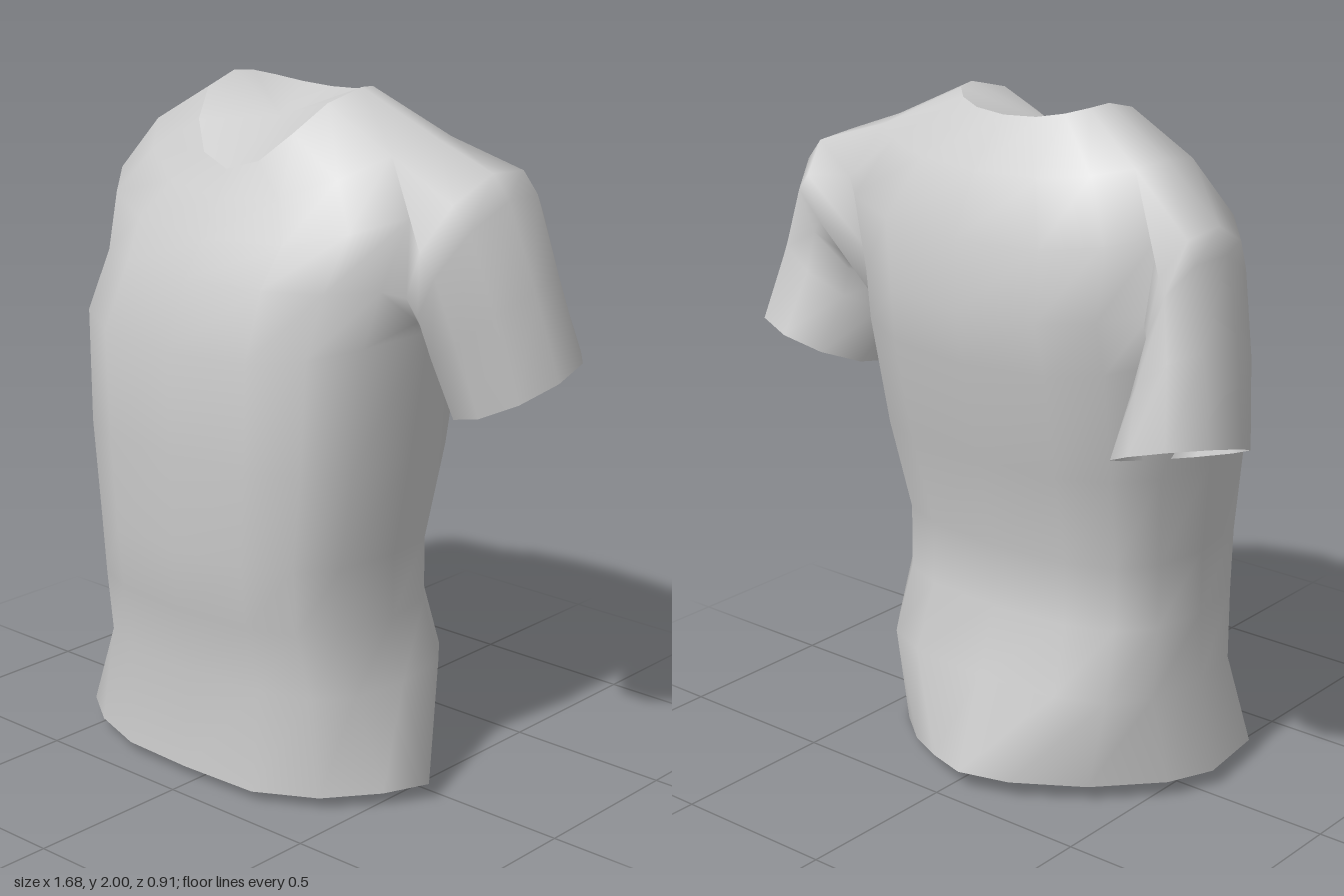
import * as THREE from 'three';

const material = new THREE.MeshStandardMaterial({ color: 0xcccccc, side: THREE.DoubleSide });

function smoothMesh(name, points, index) {
  const geometry = new THREE.BufferGeometry();
  geometry.setAttribute('position', new THREE.Float32BufferAttribute(points.flat(), 3));
  geometry.setIndex(index);
  geometry.computeVertexNormals();
  const mesh = new THREE.Mesh(geometry, material);
  mesh.name = name;
  return mesh;
}

// Rounded-box section of the body, starting at the front and turning towards +x.
// y holds the heights of the front, side and back; p is the squareness.
const SIDES = 16;
function bodyRing([y, xMin, xMax, zFront, zBack, zSide, p = 0.72]) {
  const [yF, yS, yB] = Array.isArray(y) ? y : [y, y, y];
  const cx = (xMin + xMax) / 2, rx = (xMax - xMin) / 2;
  return Array.from({ length: SIDES }, (_, i) => {
    const a = i * 2 * Math.PI / SIDES, s = Math.sin(a), c = Math.cos(a);
    const end = c > 0 ? zFront : zBack;
    return [
      cx + rx * Math.sign(s) * Math.abs(s) ** p,
      yS + ((c > 0 ? yF : yB) - yS) * c * c,
      zSide + (end - zSide) * Math.abs(c) ** p,
    ];
  });
}

// Uneven hem, in the same order as a body ring.
const hem = [
  [-0.04, 0.03, 0.41], [0.22, 0.03, 0.4], [0.4, 0.035, 0.31], [0.52, 0.04, 0.17],
  [0.59, 0.05, 0.05], [0.39, 0, -0.19], [0.24, 0.03, -0.32], [0.1, 0.05, -0.4],
  [-0.04, 0.06, -0.45], [-0.19, 0.055, -0.4], [-0.38, 0.05, -0.27], [-0.54, 0.05, -0.1],
  [-0.6, 0.05, 0.04], [-0.57, 0.05, 0.27], [-0.45, 0.04, 0.35], [-0.28, 0.03, 0.4],
];

const bodyRings = [hem, ...[
  [0.33, -0.55, 0.48, 0.39, -0.35, 0.04],
  [0.53, -0.53, 0.455, 0.43, -0.285, 0.06],                     // waist
  [0.72, -0.53, 0.455, 0.45, -0.28, 0.06],
  [1.0, -0.565, 0.49, 0.457, -0.35, 0.04],
  [[1.3, 1.36, 1.3], -0.59, 0.5, 0.455, -0.415, -0.02],         // chest, under the arms
  [[1.5, 1.5, 1.45], -0.58, 0.51, 0.385, -0.43, -0.05, 0.78],
  [[1.6, 1.72, 1.65], -0.61, 0.57, 0.335, -0.41, -0.09, 0.8],
  [[1.7, 1.88, 1.82], -0.5, 0.46, 0.27, -0.33, -0.1, 0.88],     // shoulders
  [[1.78, 2.0, 1.96], -0.28, 0.21, 0.22, -0.22, -0.07, 0.88],   // neckline
].map(bodyRing)];

// Armhole: the rows and columns of the body grid that are left open, and its rim
// as [row, column steps towards the front], from the top forwards and round.
const HOLE_BOTTOM = 5, HOLE_TOP = 8, SHOULDER = SIDES / 4;
const armholeRim = [
  [8, 0], [8, 1], [7, 1], [6, 1], [5, 1], [5, 0], [5, -1], [6, -1], [7, -1], [8, -1],
];

// Sleeve sections from shoulder to cuff: centre, arm towards the outside, arm towards the front.
const sleeveRings = [
  [[0.58, 1.6, -0.1], [0.07, 0.21, 0], [-0.02, -0.05, 0.235]],
  [[0.61, 1.55, -0.11], [0.09, 0.19, 0], [-0.02, -0.06, 0.225]],
  [[0.635, 1.4, -0.145], [0.14, 0.1, 0.01], [-0.02, -0.065, 0.212]],
  [[0.67, 1.2, -0.21], [0.17, 0.045, 0.04], [-0.03, -0.065, 0.205]],
];

// Body and sleeves share their vertices, so the cloth runs smoothly across the armholes.
function makeGarment() {
  const points = bodyRings.flat();
  const index = [];
  const quad = (a, b, c, d) => index.push(a, b, c, a, c, d);
  const bodyIndex = (row, column) => row * SIDES + (column + SIDES) % SIDES;

  // body, leaving two columns open on either side for the armholes
  for (let row = 0; row < bodyRings.length - 1; row++) {
    for (let i = 0; i < SIDES; i++) {
      const beside = [SHOULDER - 1, SHOULDER, 3 * SHOULDER - 1, 3 * SHOULDER].includes(i);
      if (beside && row >= HOLE_BOTTOM && row < HOLE_TOP) continue;
      quad(bodyIndex(row, i), bodyIndex(row, i + 1), bodyIndex(row + 1, i + 1), bodyIndex(row + 1, i));
    }
  }

  // sleeves; the right one hangs slightly lower and further back
  for (const [side, shift] of [[1, [0, 0, 0]], [-1, [0.05, -0.07, -0.04]]]) {
    const n = armholeRim.length;
    let previous = armholeRim.map(([row, step]) => bodyIndex(row, side * (SHOULDER - step)));
    sleeveRings.forEach(([c, u, v], r) => {
      const ring = previous.map((_, i) => {
        const a = i * 2 * Math.PI / n;
        const p = c.map((value, k) => value + u[k] * Math.cos(a) + v[k] * Math.sin(a)
          + shift[k] * (k === 0 ? 1 - r / 3 : 1));
        return points.push([side * p[0], p[1], p[2]]) - 1;
      });
      for (let i = 0; i < n; i++) {
        const j = (i + 1) % n;
        if (side > 0) quad(previous[i], previous[j], ring[j], ring[i]);
        else quad(previous[j], previous[i], ring[i], ring[j]);
      }
      previous = ring;
    });
  }
  return smoothMesh('bodyAndSleeves', points, index);
}

// Smooth panel that closes the neckline.
function makeNeckPanel() {
  const rim = bodyRings.at(-1);
  const index = rim.flatMap((_, i) => [i, (i + 1) % SIDES, SIDES]);
  return smoothMesh('neckPanel', [...rim, [-0.04, 1.9, -0.01]], index);
}

export function createModel() {
  const shirt = new THREE.Group();
  shirt.name = 'shirt';
  shirt.add(makeGarment(), makeNeckPanel());
  return shirt;
}
